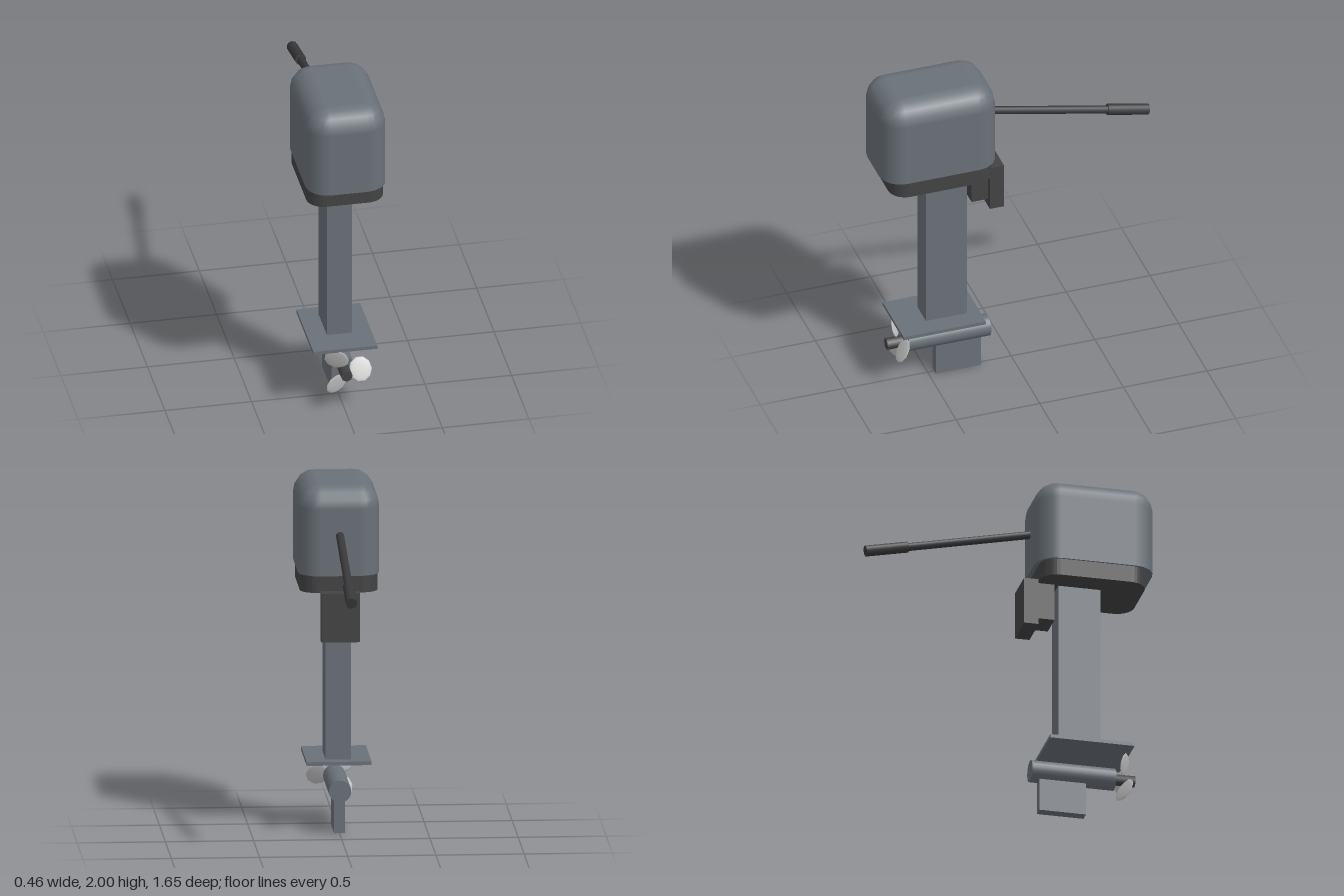
import * as THREE from 'three';

const mat = (name, color) => {
  const m = new THREE.MeshStandardMaterial({ color });
  m.name = name;
  return m;
};

// Rounded rectangle centred on the origin, as a shape
function roundedRect(hw, hd, r) {
  const s = new THREE.Shape();
  s.absarc(hw - r, hd - r, r, 0, Math.PI / 2);
  s.absarc(-hw + r, hd - r, r, Math.PI / 2, Math.PI);
  s.absarc(-hw + r, -hd + r, r, Math.PI, Math.PI * 1.5);
  s.absarc(hw - r, -hd + r, r, Math.PI * 1.5, Math.PI * 2);
  return s;
}

// Shell with vertical rounded corners and a domed upper rim, skinned from stacked rings
function cowlGeometry(hw, hd, height, r, steps) {
  const pos = [], nor = [], idx = [];
  const n = 4 * (steps + 1);
  const signs = [[1, 1], [-1, 1], [-1, -1], [1, -1]];
  const ring = (y, tilt) => {
    const c = Math.cos(tilt), s = Math.sin(tilt);
    signs.forEach(([sx, sz], q) => {
      for (let i = 0; i <= steps; i++) {
        const a = (q + i / steps) * Math.PI / 2;
        pos.push(sx * (hw - r) + r * c * Math.cos(a), y, sz * (hd - r) + r * c * Math.sin(a));
        nor.push(c * Math.cos(a), s, c * Math.sin(a));
      }
    });
  };
  ring(0, 0);
  for (let k = 0; k <= steps; k++) {
    const t = (k / steps) * Math.PI / 2;
    ring(height - r + r * Math.sin(t), t);
  }
  for (let k = 0; k <= steps; k++) {
    for (let i = 0; i < n; i++) {
      const a = k * n + i, b = k * n + (i + 1) % n;
      idx.push(a, a + n, b, b, a + n, b + n);
    }
  }
  // Flat top
  const top = (steps + 1) * n;
  for (let i = 1; i < n - 1; i++) idx.push(top, top + i + 1, top + i);
  // Flat underside with its own normals
  const base = pos.length / 3;
  for (let i = 0; i < n; i++) {
    pos.push(pos[i * 3], 0, pos[i * 3 + 2]);
    nor.push(0, -1, 0);
  }
  for (let i = 1; i < n - 1; i++) idx.push(base, base + i, base + i + 1);
  const g = new THREE.BufferGeometry();
  g.setAttribute('position', new THREE.Float32BufferAttribute(pos, 3));
  g.setAttribute('normal', new THREE.Float32BufferAttribute(nor, 3));
  g.setIndex(idx);
  return g;
}

export function createModel() {
  const model = new THREE.Group();
  model.name = 'outboardMotor';
  const grey = mat('hull grey', 0x6a7178);
  const dark = mat('charcoal', 0x434345);
  const black = mat('handle black', 0x39393c);
  const silver = mat('propeller silver', 0xc6c6c6);

  const add = (name, geometry, material, x = 0, y = 0, z = 0, parent = model) => {
    const m = new THREE.Mesh(geometry, material);
    m.name = name;
    m.position.set(x, y, z);
    parent.add(m);
    return m;
  };
  // Box from its half width and its y and z ranges
  const box = (name, material, hw, y0, y1, z0, z1) =>
    add(name, new THREE.BoxGeometry(hw * 2, y1 - y0, z1 - z0), material, 0, (y0 + y1) / 2, (z0 + z1) / 2);
  // Cylinder between two points in the x = 0 plane
  const rod = (name, material, r, sides, y0, z0, y1, z1) => {
    const a = new THREE.Vector3(0, y0, z0), b = new THREE.Vector3(0, y1, z1);
    const dir = b.clone().sub(a);
    const m = add(name, new THREE.CylinderGeometry(r, r, dir.length(), sides), material);
    m.position.copy(a).add(b).multiplyScalar(0.5);
    m.quaternion.setFromUnitVectors(new THREE.Vector3(0, 1, 0), dir.normalize());
    return m;
  };

  // Engine cover and lower pan
  add('engineCowl', cowlGeometry(0.23, 0.343, 0.51, 0.125, 4), grey, 0, 1.49, 0.483);
  const pan = new THREE.ExtrudeGeometry(roundedRect(0.22, 0.306, 0.1),
    { depth: 0.1, bevelEnabled: false, curveSegments: 4 });
  pan.rotateX(-Math.PI / 2);
  add('enginePan', pan, dark, 0, 1.39, 0.471);

  // Leg and lower unit
  box('driveLeg', grey, 0.072, 0.4, 1.392, 0.288, 0.534);
  box('cavitationPlate', grey, 0.184, 0.385, 0.406, 0.215, 0.705);
  rod('gearcase', grey, 0.0635, 20, 0.249, 0.14, 0.249, 0.63);
  box('skeg', grey, 0.03, 0, 0.2, 0.19, 0.46);

  // Transom bracket
  box('clampBlock', dark, 0.08, 1.17, 1.392, 0.16, 0.264);
  box('clampPlate', dark, 0.11, 1.12, 1.4, 0.08, 0.165);

  // Steering tiller and grip
  rod('tillerArm', black, 0.023, 10, 1.735, 0.2, 1.565, -0.585);
  rod('tillerGrip', black, 0.032, 10, 1.568, -0.573, 1.516, -0.818);

  // Propeller: hub and three pitched blades
  rod('propellerHub', dark, 0.034, 8, 0.249, 0.625, 0.249, 0.748);
  const propeller = new THREE.Group();
  propeller.name = 'propeller';
  propeller.position.set(0, 0.249, 0.68);
  model.add(propeller);
  const bladeGeo = new THREE.SphereGeometry(1, 10, 8);
  bladeGeo.rotateX(Math.PI / 2);
  bladeGeo.scale(0.067, 0.074, 0.007);
  for (let i = 0; i < 3; i++) {
    const arm = new THREE.Group();
    arm.name = 'bladeArm';
    arm.rotation.z = (i * Math.PI * 2) / 3;
    propeller.add(arm);
    add('propellerBlade', bladeGeo, silver, 0.092, 0, 0, arm).rotation.x = -0.52;
  }
  return model;
}
